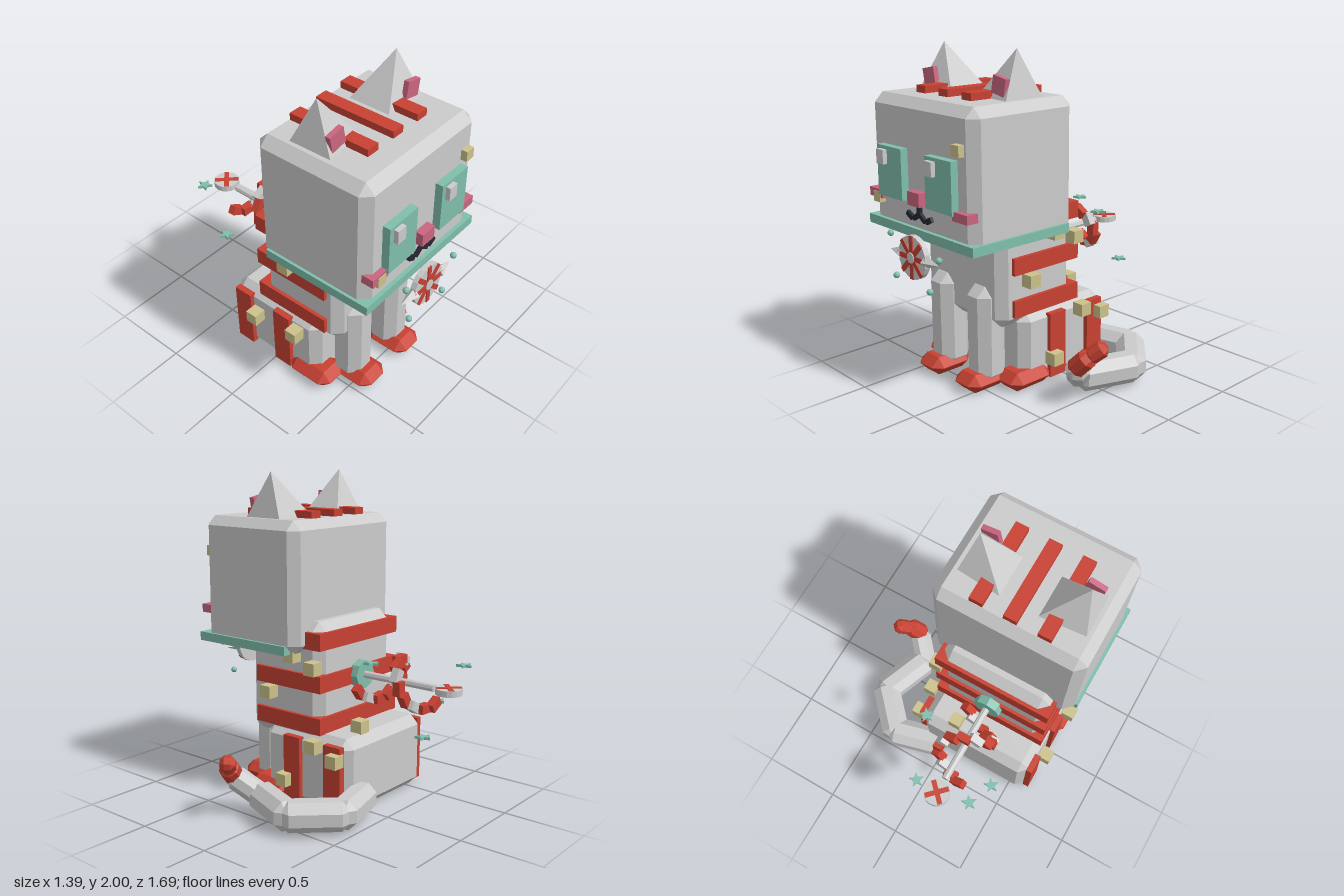
import * as THREE from 'three';
import { ConvexGeometry } from 'three/addons/geometries/ConvexGeometry.js';

const CX = -0.214; // the cat's own centre line

function mat(name, color) {
  const m = new THREE.MeshStandardMaterial({ color });
  m.name = name;
  m.flatShading = true;
  return m;
}

// Box with every edge cut at 45 degrees
function chamferBox(w, h, d, c) {
  const pts = [];
  for (const x of [-1, 1]) for (const y of [-1, 1]) for (const z of [-1, 1]) {
    for (let k = 0; k < 3; k++) {
      pts.push(new THREE.Vector3(
        x * (w / 2 - (k === 0 ? 0 : c)),
        y * (h / 2 - (k === 1 ? 0 : c)),
        z * (d / 2 - (k === 2 ? 0 : c))));
    }
  }
  return new ConvexGeometry(pts);
}

function starGeometry(r) {
  const s = new THREE.Shape();
  for (let i = 0; i < 10; i++) {
    const a = Math.PI / 2 + i * Math.PI / 5, q = i % 2 ? r * 0.42 : r;
    s[i ? 'lineTo' : 'moveTo'](q * Math.cos(a), q * Math.sin(a));
  }
  s.closePath();
  return new THREE.ExtrudeGeometry(s, { depth: 0.016, bevelEnabled: false }).rotateX(-Math.PI / 2);
}

export function createModel() {
  const root = new THREE.Group();
  const gray = mat('light gray', 0xcbcbcb);
  const red = mat('red', 0xc84132);
  const teal = mat('teal', 0x80bfad);
  const pink = mat('pink', 0xca667f);
  const khaki = mat('khaki', 0xcdc28c);
  const dark = mat('dark', 0x262632);

  const add = (name, geo, m, x = 0, y = 0, z = 0) => {
    const mesh = new THREE.Mesh(geo, m);
    mesh.name = name;
    mesh.position.set(x, y, z);
    root.add(mesh);
    return mesh;
  };
  // Parts given by their limits on each axis
  const box = (name, m, x0, x1, y0, y1, z0, z1) =>
    add(name, new THREE.BoxGeometry(x1 - x0, y1 - y0, z1 - z0), m, (x0 + x1) / 2, (y0 + y1) / 2, (z0 + z1) / 2);
  const cham = (name, m, x0, x1, y0, y1, z0, z1, c = 0.057) =>
    add(name, chamferBox(x1 - x0, y1 - y0, z1 - z0, c), m, (x0 + x1) / 2, (y0 + y1) / 2, (z0 + z1) / 2);

  // Main masses
  cham('head', gray, CX - 0.471, CX + 0.471, 0.942, 1.73, -0.005, 0.75);
  box('collar', teal, CX - 0.488, CX + 0.488, 0.945, 1.0, 0.065, 0.775);
  cham('torso', gray, CX - 0.358, CX + 0.358, 0.4, 1.135, -0.1, 0.475);
  cham('haunches', gray, CX - 0.388, CX + 0.388, 0.005, 0.47, -0.335, 0.33);

  // Stripes round the torso, haunches and over the head
  for (const y of [0.518, 0.775, 1.03]) box('torsoStripe', red, CX - 0.381, CX + 0.381, y - 0.051, y + 0.051, -0.12, 0.39);
  for (const z of [-0.235, 0.077]) for (const s of [-1, 1]) {
    const x = CX + s * 0.396;
    box('haunchStripe', red, x - 0.02, x + 0.02, 0.03, 0.435, z - 0.063, z + 0.063);
  }
  for (const dx of [-0.206, 0, 0.206]) box('headStripe', red, CX + dx - 0.041, CX + dx + 0.041, 1.7, 1.772, 0.055, 0.573);

  // Mirrored parts
  for (const s of [-1, 1]) {
    const side = (name, m, a, b, ...r) => box(name, m, CX + Math.min(s * a, s * b), CX + Math.max(s * a, s * b), ...r);
    const lx = CX + s * 0.175;
    cham('frontLeg', gray, lx - 0.101, lx + 0.101, 0.04, 0.64, 0.332, 0.538);
    cham('frontFoot', red, lx - 0.112, lx + 0.112, 0.008, 0.12, 0.34, 0.63, 0.054);
    const hx = CX + s * 0.326;
    cham('hindFoot', red, hx - 0.112, hx + 0.112, 0.008, 0.12, 0.12, 0.435, 0.054);

    const ear = [[0.107, 1.715, 0.15], [0.394, 1.715, 0.175], [0.39, 1.715, 0.455], [0.107, 1.715, 0.43], [0.322, 2, 0.308]];
    add('ear', new ConvexGeometry(ear.map(([x, y, z]) => new THREE.Vector3(CX + s * x, y, z))), gray);
    add('innerEar', new THREE.BoxGeometry(0.105, 0.1, 0.032), pink, CX + s * 0.312, 1.805, 0.42).rotation.z = -s * 0.19;

    side('eye', teal, 0.11, 0.343, 1.148, 1.445, 0.74, 0.797);
    side('cheek', pink, 0.328, 0.455, 1.12, 1.172, 0.7, 0.785);
    add('mouthCurve', new THREE.BoxGeometry(0.065, 0.026, 0.03), dark, CX + s * 0.027, 1.07, 0.755).rotation.z = -s * 0.6;
    add('mouthCorner', new THREE.BoxGeometry(0.055, 0.03, 0.03), dark, CX + s * 0.09, 1.066, 0.755).rotation.z = s * 0.5;
  }
  for (const x of [-0.492, -0.04]) box('eyeGlint', gray, x - 0.033, x + 0.033, 1.342, 1.425, 0.78, 0.825);
  box('nose', pink, CX - 0.054, CX + 0.054, 1.14, 1.22, 0.74, 0.802);
  box('mouthLine', dark, CX - 0.013, CX + 0.013, 1.075, 1.145, 0.74, 0.77);

  // Small cubes stuck to the surfaces
  const cubes = [
    [0.155, 1.505, 0.757, 0.064], [-0.595, 1.125, 0.757, 0.064],
    [0.18, 0.932, 0.085], [0.18, 0.875, -0.075], [0.182, 0.68, 0.275],
    [0.218, 0.415, -0.11], [0.218, 0.36, -0.27], [0.218, 0.16, 0.12],
    [-0.05, 0.505, -0.25], [-0.605, 0.91, 0.2], [-0.605, 0.845, 0.12],
    [-0.648, 0.32, -0.12], [-0.648, 0.375, 0.2],
  ];
  for (const [x, y, z, w = 0.078] of cubes) add('stuckCube', new THREE.BoxGeometry(w, w, w), khaki, x, y, z);

  // Round pendant below the collar
  const PY = 0.845;
  const disc = (name, m, r, z0, z1, n) =>
    add(name, new THREE.CylinderGeometry(r, r, z1 - z0, n).rotateX(Math.PI / 2), m, CX, PY, (z0 + z1) / 2);
  disc('pendantDisc', gray, 0.128, 0.79, 0.824, 20);
  for (let i = 0; i < 4; i++) add('pendantSpoke', new THREE.BoxGeometry(0.255, 0.03, 0.01), red, CX, PY, 0.826).rotation.z = i * Math.PI / 4;
  disc('pendantHub', gray, 0.032, 0.815, 0.836, 12);
  for (const s of [-1, 1]) {
    const cone = add('pendantPoint', new THREE.ConeGeometry(0.04, 0.12, 4), gray, CX + s * 0.17, PY, 0.808);
    cone.rotation.z = -s * Math.PI / 2;
  }
  for (const [x, y] of [[-0.42, 0.947], [0.033, 0.885], [-0.378, 0.7], [-0.058, 0.68]])
    add('pendantBead', new THREE.IcosahedronGeometry(0.02, 1), teal, x, y, 0.82);

  // Rod on the back with its mount and end disc
  const RY = 0.778;
  add('rodMount', new THREE.CylinderGeometry(0.088, 0.088, 0.055, 8).rotateX(Math.PI / 2), teal, CX, RY, -0.137);
  add('rod', new THREE.CylinderGeometry(0.023, 0.023, 0.56, 8).rotateX(Math.PI / 2), gray, CX, RY, -0.385);
  add('endDisc', new THREE.CylinderGeometry(0.08, 0.08, 0.036, 16), gray, CX, RY, -0.762);
  for (const a of [-1, 1]) add('endDiscCross', new THREE.BoxGeometry(0.15, 0.01, 0.03), red, CX, RY + 0.017, -0.762).rotation.y = a * Math.PI / 4;

  // Blocks spiralling round the rod
  for (let i = 0; i < 16; i++) {
    const z = -0.195 - i * 0.0285, a = (z + 0.42) / 0.35 * Math.PI * 2;
    const b = add('spiralBlock', new THREE.BoxGeometry(0.085, 0.055, 0.048), i % 3 === 1 ? gray : red,
      CX - 0.135 * Math.sin(a), RY + 0.135 * Math.cos(a), z);
    b.rotation.z = a;
  }

  // Floating stars
  const star = starGeometry(0.048);
  for (const [x, y, z] of [[-0.42, 0.877, -0.735], [-0.03, 0.53, -0.715], [-0.46, 0.613, -0.53], [0.055, 0.927, -0.412]])
    add('star', star, teal, x, y, z);

  // Tail made of chamfered links
  const link = (name, m, a, b, w, over) => {
    const p = new THREE.Vector3(...a), q = new THREE.Vector3(...b);
    const mid = p.clone().add(q).multiplyScalar(0.5);
    add(name, chamferBox(w, w, p.distanceTo(q) + over, w * 0.29), m, mid.x, mid.y, mid.z).lookAt(q);
  };
  const path = [[0.04, 0.112, -0.345], [0.335, 0.112, -0.425], [0.545, 0.112, -0.2], [0.43, 0.112, 0.1]];
  for (let i = 0; i < 3; i++) link('tailLink', gray, path[i], path[i + 1], 0.178, 0.1);
  link('tailRise', gray, [0.43, 0.12, 0.13], [0.52, 0.225, 0.23], 0.135, 0.08);
  link('tailTipLower', red, [0.525, 0.24, 0.245], [0.585, 0.305, 0.225], 0.115, 0.07);
  link('tailTipUpper', red, [0.6, 0.32, 0.21], [0.655, 0.375, 0.165], 0.092, 0.04);

  return root;
}
